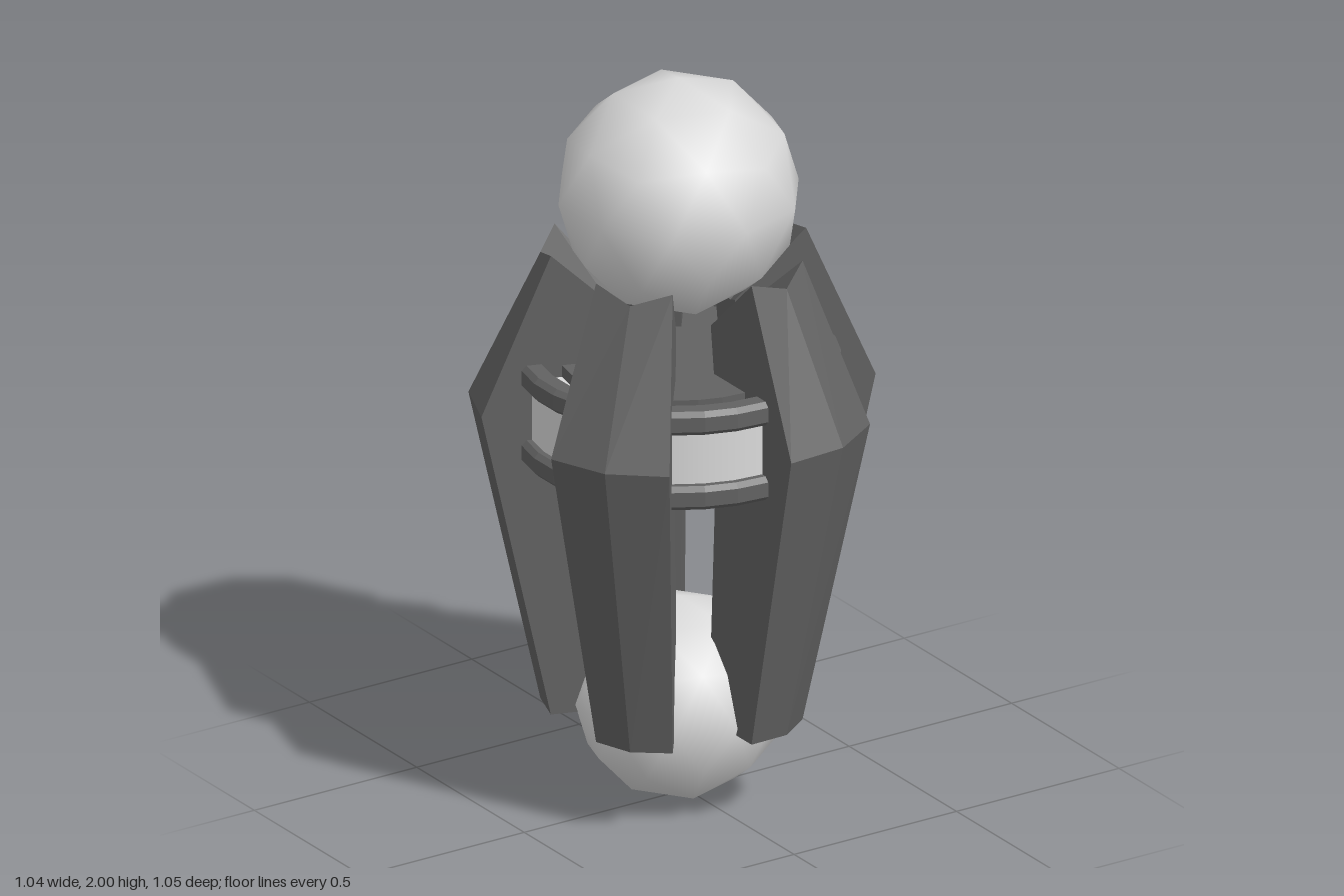
import * as THREE from 'three';

const DEG = Math.PI / 180;

const mat = (name, color, flatShading = false) => {
  const m = new THREE.MeshStandardMaterial({ color, flatShading });
  m.name = name;
  return m;
};

// Closed wedge: [radius, y] profiles (counter-clockwise) placed at successive angles
function wedgeGeometry(profiles, angles) {
  const at = (s, i) => {
    const [r, y] = profiles[s][i % profiles[s].length];
    return [r * Math.cos(angles[s]), y, r * Math.sin(angles[s])];
  };
  const out = [];
  const tri = (a, b, c) => out.push(...a, ...b, ...c);
  for (let s = 0; s < profiles.length - 1; s++) {
    for (let i = 0; i < profiles[s].length; i++) {
      const a = at(s + 1, i), b = at(s, i), c = at(s, i + 1), d = at(s + 1, i + 1);
      tri(a, b, c);
      tri(a, c, d);
    }
  }
  // Side caps
  const last = profiles.length - 1;
  for (const s of [0, last]) {
    const contour = profiles[s].map(([r, y]) => new THREE.Vector2(r, y));
    for (const [i, j, k] of THREE.ShapeUtils.triangulateShape(contour, [])) {
      if (s === last) tri(at(s, i), at(s, j), at(s, k));
      else tri(at(s, k), at(s, j), at(s, i));
    }
  }
  const g = new THREE.BufferGeometry();
  g.setAttribute('position', new THREE.Float32BufferAttribute(out, 3));
  g.computeVertexNormals();
  return g;
}

// Faceted ball with a vertex at the pole and a ten-sided equator
function ballGeometry(radius) {
  const g = new THREE.IcosahedronGeometry(radius, 1);
  g.rotateZ(Math.atan(2 / (1 + Math.sqrt(5))));
  g.rotateY(Math.PI);
  return g;
}

export function createModel() {
  const dark = mat('darkGrey', 0x626262, true);
  const light = mat('lightGrey', 0xdadada);
  const model = new THREE.Group();
  model.name = 'model';
  const body = new THREE.Group();
  body.name = 'body';
  body.position.x = -0.025;
  model.add(body);

  const add = (name, geometry, material, y = 0) => {
    const mesh = new THREE.Mesh(geometry, material);
    mesh.name = name;
    mesh.position.y = y;
    body.add(mesh);
    return mesh;
  };

  // Upper and lower balls
  add('upperBall', ballGeometry(0.32), light, 1.68);
  add('lowerBall', ballGeometry(0.275), light, 0.275);

  // Five tapered fins around the axis
  const edge = [[0.2, 0.255], [0.34, 0.255], [0.525, 1.11], [0.34, 1.54], [0.15, 1.36], [0.18, 1.1], [0.15, 0.45]];
  const ridge = [[0.2, 0.255], [0.355, 0.255], [0.54, 1.11], [0.355, 1.505], [0.16, 1.34], [0.19, 1.1], [0.16, 0.45]];
  const fin = wedgeGeometry([edge, ridge, edge], [-18 * DEG, 0, 18 * DEG]);
  for (let i = 0; i < 5; i++) add('fin' + (i + 1), fin, dark).rotation.y = i * 72 * DEG;

  // Light drum between the two rings
  add('drum', new THREE.CylinderGeometry(0.39, 0.39, 0.19, 30), light, 1.103);

  // Dark core discs showing above and below the drum
  for (const [name, y] of [['upperDisc', 1.208], ['lowerDisc', 0.998]]) {
    add(name, new THREE.CylinderGeometry(0.31, 0.31, 0.045, 30), dark, y);
  }

  // Rings with chamfered outer edges
  const ringProfile = [
    [0.365, -0.033], [0.405, -0.033], [0.418, -0.02], [0.418, 0.02],
    [0.405, 0.033], [0.365, 0.033], [0.365, -0.033],
  ].map(([r, y]) => new THREE.Vector2(r, y));
  const ring = new THREE.LatheGeometry(ringProfile, 30);
  add('upperRing', ring, dark, 1.207);
  add('lowerRing', ring, dark, 0.998);

  return model;
}
